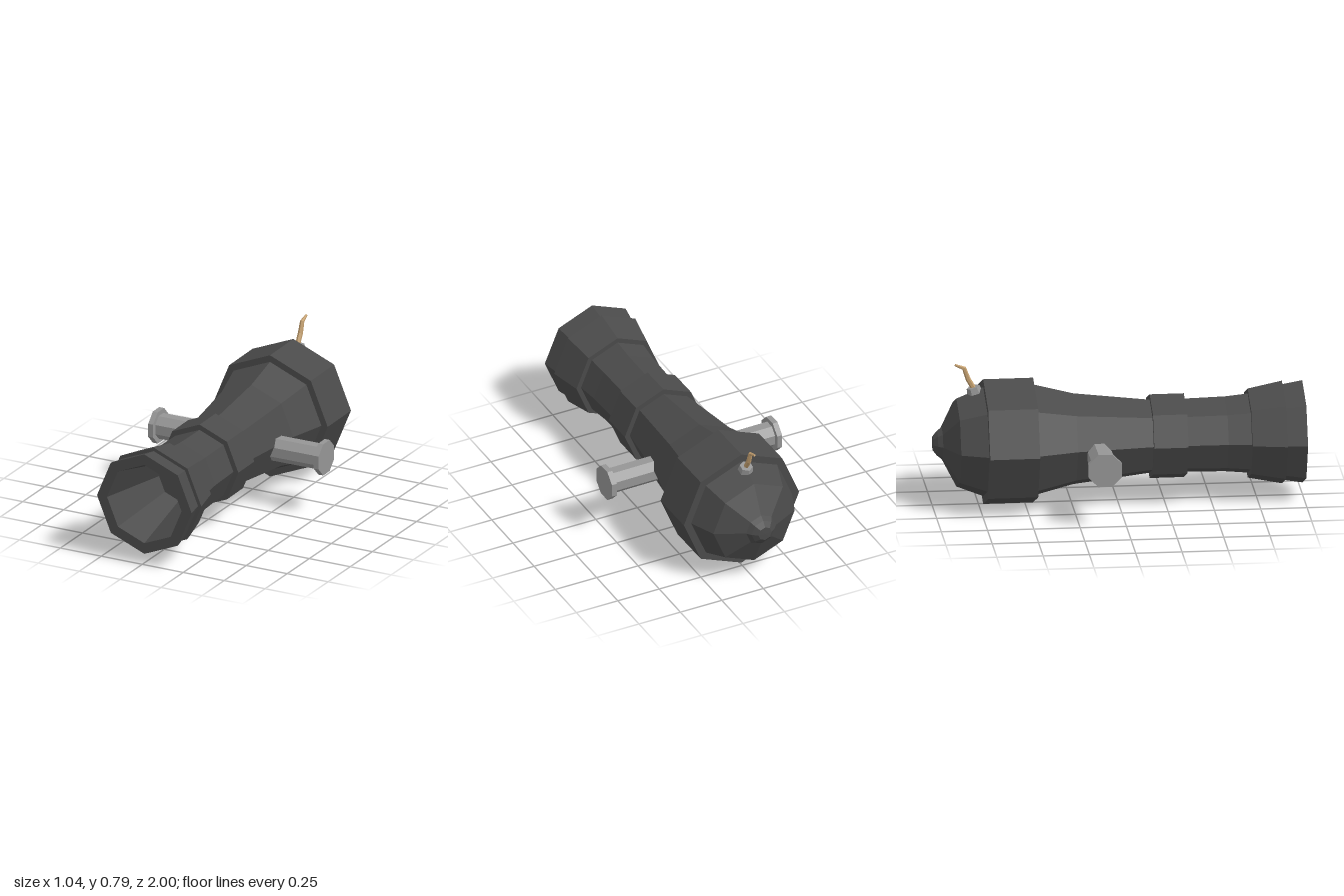
import * as THREE from 'three';

const flat = (name, color) => {
  const m = new THREE.MeshStandardMaterial({ color, flatShading: true });
  m.name = name;
  return m;
};

export function createModel() {
  const iron = flat('dark iron', 0x4a4a4a);
  const steel = flat('grey steel', 0x959595);
  const rope = flat('fuse rope', 0xc4a070);

  const model = new THREE.Group();
  model.name = 'cannon';
  model.rotation.y = 0.0125; // the barrel points very slightly to its left

  const add = (name, geometry, material, parent = model) => {
    const mesh = new THREE.Mesh(geometry, material);
    mesh.name = name;
    parent.add(mesh);
    return mesh;
  };

  // Octagonal turned part along z, from [radius, z] pairs running back to front
  const turned = (name, profile) => {
    const points = profile.map(([r, z]) => new THREE.Vector2(r, z));
    const geometry = new THREE.LatheGeometry(points, 8).rotateX(Math.PI / 2);
    add(name, geometry, iron).position.y = 0.35;
  };

  // Barrel: rounded breech, waisted tube, flared muzzle, then the tapered bore
  turned('barrel', [
    [0, -1], [0.04, -0.998], [0.07, -0.975], [0.09, -0.95], [0.247, -0.87], [0.308, -0.72],
    [0.312, -0.455], [0.255, -0.24], [0.205, 0.175], [0.205, 0.36], [0.21, 0.58],
    [0.222, 0.705], [0.268, 0.89], [0.287, 1], [0.226, 1], [0.12, 0.6], [0, 0.6],
  ]);

  // Raised bands
  turned('breechBand', [[0.25, -0.725], [0.35, -0.725], [0.35, -0.455], [0.25, -0.455]]);
  turned('middleBand', [[0.19, 0.175], [0.235, 0.175], [0.235, 0.36], [0.19, 0.36]]);
  turned('muzzleBand', [[0.215, 0.705], [0.25, 0.705], [0.288, 0.89], [0.26, 0.89]]);

  // Side pivots with end discs; octagons with a flat side up
  const octagonBar = (apothem, length) => {
    const r = apothem / Math.cos(Math.PI / 8);
    return new THREE.CylinderGeometry(r, r, length, 8)
      .rotateY(Math.PI / 8).rotateZ(Math.PI / 2);
  };
  for (const [side, label] of [[1, 'left'], [-1, 'right']]) {
    const pivot = new THREE.Group();
    pivot.name = label + 'Pivot';
    pivot.position.set(0, 0.32, -0.122);
    model.add(pivot);
    add(label + 'PivotShaft', octagonBar(0.065, 0.35), steel, pivot).position.x = side * 0.325;
    add(label + 'PivotDisc', octagonBar(0.09, 0.03), steel, pivot).position.x = side * 0.502;
  }

  // Fuse socket, lying on the sloping breech
  const socket = add('fuseSocket', new THREE.CylinderGeometry(0.036, 0.042, 0.035, 6), steel);
  socket.position.set(0, 0.642, -0.775);
  socket.rotation.x = -0.3;

  // Bent fuse: rings of a cylinder moved along a path [y, z, radius]
  const path = [[0.64, -0.77, 0.014], [0.705, -0.807, 0.014], [0.765, -0.828, 0.012], [0.785, -0.877, 0.006]];
  const tilts = [-0.45, -0.4, -0.75, -1.15];
  const fuse = new THREE.CylinderGeometry(1, 1, 3, 6, 3);
  const pos = fuse.attributes.position;
  for (let i = 0; i < pos.count; i++) {
    const k = Math.round(pos.getY(i) + 1.5);
    const [y, z, r] = path[k];
    const across = pos.getZ(i) * r;
    pos.setXYZ(i, pos.getX(i) * r, y - across * Math.sin(tilts[k]), z + across * Math.cos(tilts[k]));
  }
  fuse.computeVertexNormals();
  add('fuse', fuse, rope);

  return model;
}
